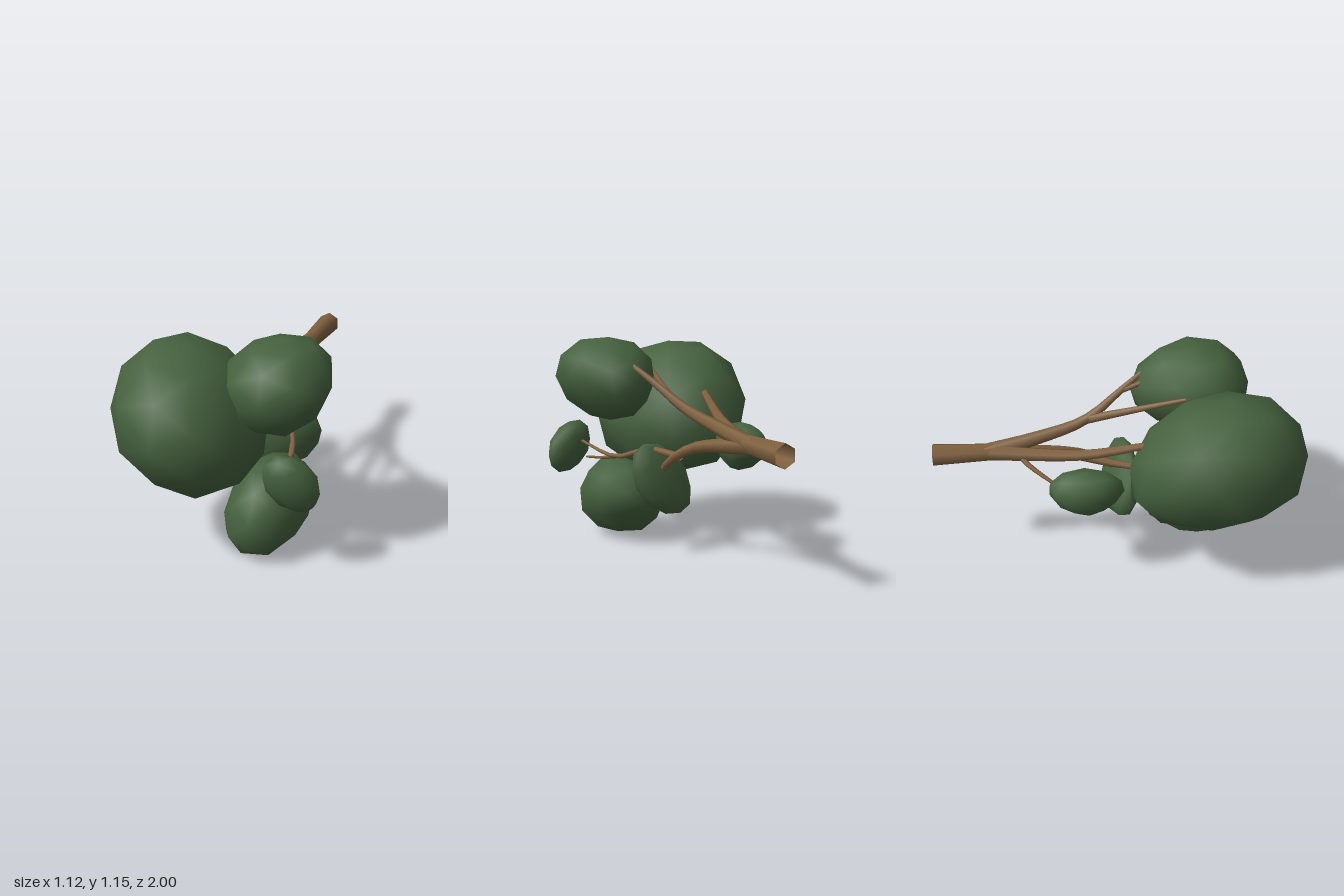
import * as THREE from 'three';
import { mergeVertices } from 'three/addons/utils/BufferGeometryUtils.js';

const leaf = new THREE.MeshStandardMaterial({ color: 0x46623f });
leaf.name = 'leafGreen';
const bark = new THREE.MeshStandardMaterial({ color: 0x80613f, side: THREE.DoubleSide });
bark.name = 'barkBrown';

// Low-poly clump of leaves: a ball given half sizes, a squareness (2 is round),
// a lean in the xy, zy and xz planes, and tapers of one axis along another
function clump(name, squareness, centre, half, [xy, zy, xz], [xByY, xByZ, zByY, yByZ]) {
  const geo = new THREE.IcosahedronGeometry(1, 1);
  geo.deleteAttribute('normal');
  geo.deleteAttribute('uv');
  const ball = mergeVertices(geo, 1e-4);
  const pos = ball.attributes.position;
  const p = new THREE.Vector3();
  const yy = Math.sqrt(1 - xy * xy);
  const zv = (zy - xy * xz) / yy;
  const zw = Math.sqrt(1 - xz * xz - zv * zv);
  for (let i = 0; i < pos.count; i++) {
    p.fromBufferAttribute(pos, i);
    const sum = p.toArray().reduce((s, n) => s + Math.abs(n) ** squareness, 0);
    p.divideScalar(sum ** (1 / squareness));
    const u = p.x * (1 + xByY * p.y + xByZ * p.z);
    const v = p.y * (1 + yByZ * p.z);
    const w = p.z * (1 + zByY * p.y);
    pos.setXYZ(
      i,
      centre[0] + half[0] * u,
      centre[1] + half[1] * (xy * u + yy * v),
      centre[2] + half[2] * (xz * u + zv * v + zw * w),
    );
  }
  ball.computeVertexNormals();
  const mesh = new THREE.Mesh(ball, leaf);
  mesh.name = name;
  return mesh;
}

// Six-sided limb tapering from radius r0 to r1 along a few points
function limb(name, r0, r1, ...points) {
  const curve = new THREE.CatmullRomCurve3(points.map((p) => new THREE.Vector3(...p)));
  const steps = (points.length - 1) * 3, sides = 6;
  const geo = new THREE.TubeGeometry(curve, steps, 1, sides, false);
  const pos = geo.attributes.position;
  const v = new THREE.Vector3();
  for (let i = 0; i < pos.count; i++) {
    const t = Math.floor(i / (sides + 1)) / steps;
    const centre = curve.getPointAt(t);
    v.fromBufferAttribute(pos, i).sub(centre).multiplyScalar(r0 + (r1 - r0) * t).add(centre);
    pos.setXYZ(i, v.x, v.y, v.z);
  }
  const mesh = new THREE.Mesh(geo, bark);
  mesh.name = name;
  return mesh;
}

export function createModel() {
  const tree = new THREE.Group();
  tree.name = 'fallenTree';

  // Leaves
  tree.add(
    clump('largeClump', 2.3, [-.175, .72, .52], [.385, .38, .48], [-.15, .06, .1], [-.05, .04, -.12, 0]),
    clump('upperClump', 2.2, [.275, .915, .41], [.255, .235, .33], [.05, 0, 0], [.15, .25, -.06, .1]),
    clump('lowerClump', 2.3, [.207, .232, .415], [.215, .232, .295], [.15, -.2, 0], [-.1, 0, 0, .15]),
    clump('smallSideClump', 2.1, [.42, .5, .665], [.14, .15, .09], [-.28, .1, -.3], [0, 0, .2, 0]),
    clump('rearLowerClump', 2.1, [.145, .4, .025], [.195, .2, .1], [.35, .3, -.3], [0, 0, -.25, 0]),
    clump('rearSmallClump', 1.9, [-.22, .585, -.19], [.12, .135, .2], [0, -.05, 0], [.1, -.2, .25, 0]),
  );

  // Trunk, open at its cut end
  const fork = [.03, .7, -.72];
  tree.add(limb('trunk', .063, .048, [.03, .7, -1], [.03, .7, -.66]));

  // Limbs into the large clump
  tree.add(
    limb('rightBranch', .046, .02, fork, [-.025, .71, -.47], [-.095, .74, -.2], [-.185, .85, .15]),
    limb('rightFork', .027, .017, [-.09, .735, -.22], [-.13, .705, -.05], [-.18, .7, .12]),
    limb('innerFork', .025, .01, [.12, .82, -.17], [.1, .87, .03], [.04, .97, .36]),
  );

  // Limbs into the upper clump
  tree.add(
    limb('upperBranch', .046, .024, fork, [.065, .75, -.45], [.11, .81, -.2], [.145, .86, -.1]),
    limb('upperFork', .025, .011, [.13, .84, -.13], [.2, .94, .02], [.285, 1.05, .2]),
    limb('upperTwig', .015, .007, [.2, .94, .02], [.22, .99, .16], [.275, 1.11, .31]),
  );

  // Limbs into the lower clumps and the rear clump
  tree.add(
    limb('lowerBranch', .046, .018, fork, [.11, .62, -.27], [.16, .54, -.12], [.16, .45, 0]),
    limb('longTwig', .021, .008, [.14, .56, -.18], [.2, .56, .08], [.29, .49, .3], [.37, .54, .62]),
    limb('lowerTwig', .012, .006, [.27, .5, .26], [.31, .465, .42], [.34, .44, .6]),
    limb('rearTwig', .016, .009, [.01, .7, -.55], [-.08, .68, -.49], [-.2, .62, -.34]),
  );
  return tree;
}
